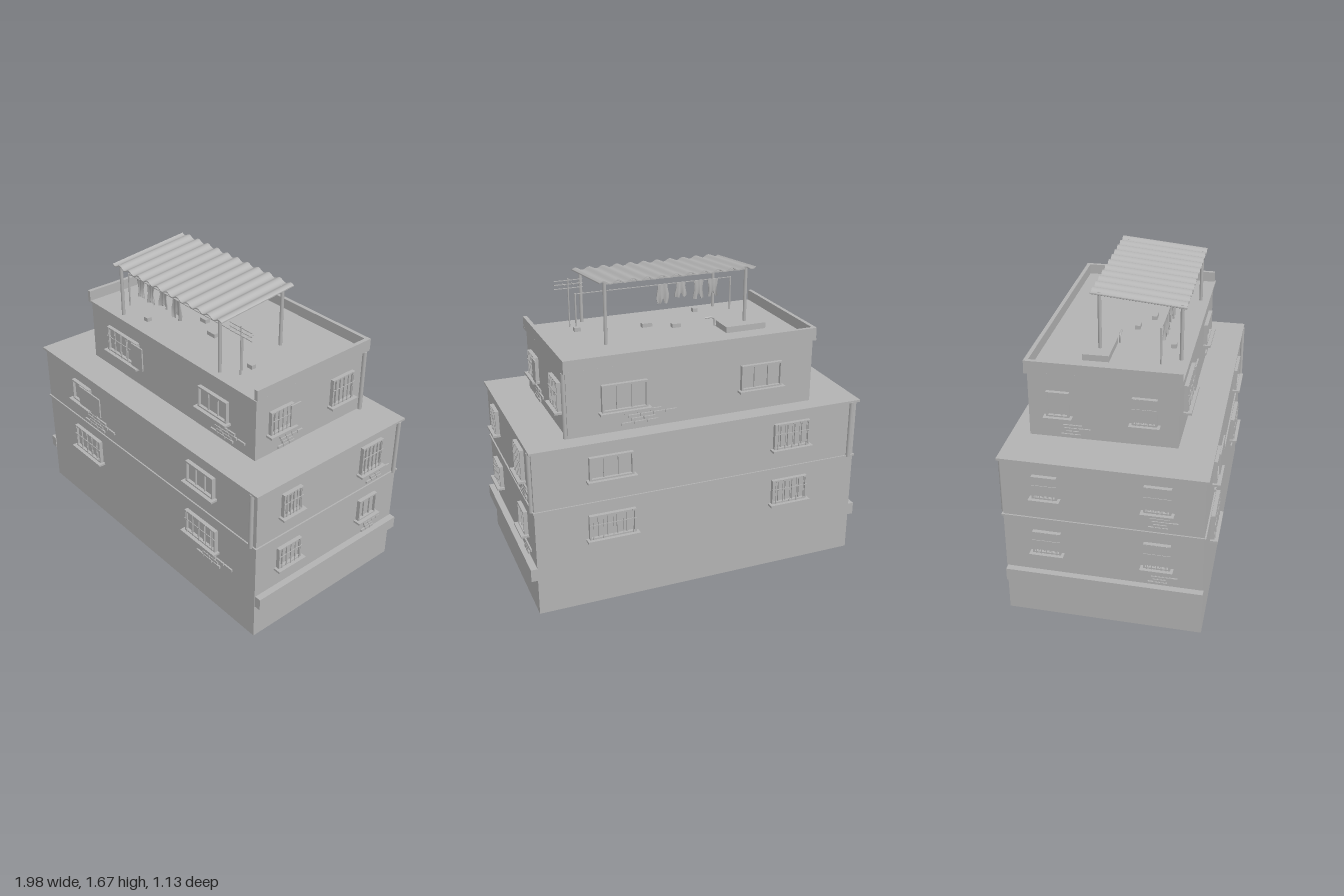
import * as THREE from 'three';

const concrete = new THREE.MeshStandardMaterial({ color: 0xb2b2b2 });
concrete.name = 'concrete grey';

// Footprints as [x, z]: front left, front right, back right, back left (as seen from the front)
const LOWER = [[-0.955, 0.517], [0.932, 0.525], [0.945, -0.515], [-0.925, -0.527]];
const UPPER = [[-0.683, 0.34], [0.72, 0.348], [0.727, -0.43], [-0.672, -0.437]];
const SIDES = { front: 0, right: 1, back: 2, left: 3 };

function add(parent, name, geometry, x = 0, y = 0, z = 0) {
  const mesh = new THREE.Mesh(geometry, concrete);
  mesh.name = name;
  mesh.position.set(x, y, z);
  parent.add(mesh);
  return mesh;
}

const box = (parent, name, w, h, d, x, y, z) => add(parent, name, new THREE.BoxGeometry(w, h, d), x, y, z);

// A box whose plan is a slightly crooked quadrilateral, grown outward by a margin
function prism(parent, name, quad, y0, y1, grow = 0) {
  const geo = new THREE.BoxGeometry(1, 1, 1);
  const p = geo.attributes.position;
  for (let i = 0; i < p.count; i++) {
    const right = p.getX(i) > 0, front = p.getZ(i) > 0;
    const c = quad[front ? (right ? 1 : 0) : (right ? 2 : 3)];
    p.setXYZ(i, c[0] + (right ? grow : -grow), p.getY(i) > 0 ? y1 : y0, c[1] + (front ? grow : -grow));
  }
  geo.computeVertexNormals();
  return add(parent, name, geo);
}

// Group on a wall: local +z points outward; "along" is x on front/back and z on the sides
function onWall(parent, name, quad, side, along, y) {
  const i = SIDES[side], a = quad[i], b = quad[(i + 1) % 4], k = i % 2;
  const t = (along - a[k]) / (b[k] - a[k]);
  const g = new THREE.Group();
  g.name = name;
  g.position.set(a[0] + (b[0] - a[0]) * t, y, a[1] + (b[1] - a[1]) * t);
  g.rotation.y = Math.atan2(-(b[1] - a[1]), b[0] - a[0]);
  g.userData.length = Math.hypot(b[0] - a[0], b[1] - a[1]);
  parent.add(g);
  return g;
}

// Framed window with sill; either a barred grille or plain casements, optionally an open shutter
function windowUnit(parent, quad, side, along, y, w, h, bars, shutter = 0) {
  const g = onWall(parent, bars ? 'barredWindow' : 'casementWindow', quad, side, along, y);
  const t = 0.01;
  box(g, 'glass', w, h, 0.006, 0, 0, 0.002);
  for (const s of [-1, 1]) {
    box(g, 'frameSide', t, h, 0.024, s * (w - t) / 2, 0, 0.01);
    box(g, 'frameRail', w, t, 0.024, 0, s * (h - t) / 2, 0.01);
  }
  box(g, 'sill', w + 0.03, 0.012, 0.05, 0, -h / 2 - 0.004, 0.018);
  const n = bars ? 5 : 3;
  for (let i = 1; i < n; i++) {
    box(g, 'mullion', 0.006, h, 0.012, (i / n - 0.5) * w, 0, 0.008);
  }
  if (bars) {
    for (let i = 0; i < 5; i++) box(g, 'bar', 0.004, h, 0.004, (i / 4 - 0.5) * (w - 0.04), 0, 0.024);
    box(g, 'crossBar', w, 0.004, 0.004, 0, h * 0.12, 0.024);
  }
  if (shutter) box(g, 'openShutter', shutter * 1.7, h * 0.94, 0.008, w / 2 + shutter * 0.15, 0, 0.026);
}

// Patch of exposed bricks in ragged staggered courses
function brickPatch(parent, quad, side, along, y, w, h) {
  const g = onWall(parent, 'exposedBricks', quad, side, along, y);
  const rows = Math.max(3, Math.round(h / 0.02)), step = h / rows;
  for (let r = 0; r < rows; r++) {
    const count = 2 + (r * 2 + 1) % 3, bw = w / 4;
    const start = -w / 2 + ((r * 3) % 4) * bw * 0.25;
    for (let i = 0; i < count; i++) {
      box(g, 'brick', bw * 0.9, step * 0.75, 0.012, start + (i + 0.5) * bw, (r + 0.5) * step - h / 2, 0.003);
    }
  }
}

function pole(parent, name, x, z, y0, y1, r) {
  return add(parent, name, new THREE.CylinderGeometry(r, r, y1 - y0, 8), x, (y0 + y1) / 2, z);
}

export function createModel() {
  const model = new THREE.Group();
  model.name = 'building';

  // Stepped building masses and floor bands
  prism(model, 'lowerBlock', LOWER, 0, 0.935);
  prism(model, 'floorBand', LOWER, 0.598, 0.608, 0.008);
  prism(model, 'terraceSlab', LOWER, 0.932, 0.945, 0.014);
  prism(model, 'upperBlock', UPPER, 0.94, 1.3);
  prism(model, 'roofSlab', UPPER, 1.3, 1.312, 0.014);

  // Ledges on the short sides
  for (const side of ['left', 'right']) {
    const g = onWall(model, 'sideLedge', LOWER, side, 0, 0.244);
    box(g, 'ledge', g.userData.length, 0.07, 0.04, 0, 0, 0.016);
  }

  // Parapet on three sides, open at the front
  for (const side of ['left', 'right', 'back']) {
    const g = onWall(model, 'parapet', UPPER, side, side === 'back' ? 0.0275 : -0.045, 1.34);
    box(g, 'parapetWall', g.userData.length + 0.024, 0.062, 0.022, 0, 0, 0.003);
  }

  // Windows: wall, side, position along, centre height, width, height, barred, shutter
  const windows = [
    [LOWER, 'front', -0.537, 0.465, 0.255, 0.15, 1],
    [LOWER, 'front', 0.515, 0.465, 0.25, 0.14, 1],
    [LOWER, 'front', -0.57, 0.803, 0.17, 0.13, 0, 0.12],
    [LOWER, 'front', 0.512, 0.803, 0.215, 0.13, 0],
    [UPPER, 'front', -0.375, 1.14, 0.28, 0.15, 1, 0.06],
    [UPPER, 'front', 0.408, 1.138, 0.225, 0.125, 0],
    [LOWER, 'right', 0.3, 0.465, 0.16, 0.13, 1],
    [LOWER, 'right', -0.287, 0.465, 0.135, 0.135, 0],
    [LOWER, 'right', 0.297, 0.8, 0.13, 0.14, 1],
    [LOWER, 'right', -0.283, 0.805, 0.155, 0.17, 1],
    [UPPER, 'right', 0.183, 1.137, 0.155, 0.135, 1, 0.04],
    [UPPER, 'right', -0.255, 1.14, 0.16, 0.16, 1],
    [LOWER, 'back', 0.53, 0.465, 0.26, 0.14, 1],
    [LOWER, 'back', -0.515, 0.465, 0.215, 0.145, 1],
    [LOWER, 'back', 0.53, 0.803, 0.24, 0.13, 0],
    [LOWER, 'back', -0.515, 0.803, 0.215, 0.15, 1],
    [UPPER, 'back', 0.42, 1.14, 0.25, 0.15, 0],
    [UPPER, 'back', -0.36, 1.14, 0.24, 0.14, 0],
    [LOWER, 'left', -0.297, 0.465, 0.15, 0.13, 1],
    [LOWER, 'left', 0.28, 0.465, 0.14, 0.15, 1],
    [LOWER, 'left', -0.297, 0.8, 0.13, 0.13, 1],
    [LOWER, 'left', 0.28, 0.805, 0.14, 0.15, 1],
    [UPPER, 'left', -0.28, 1.14, 0.12, 0.14, 0],
    [UPPER, 'left', 0.168, 1.14, 0.13, 0.15, 1],
  ];
  for (const w of windows) windowUnit(model, ...w);

  // Patches of bare brick
  const patches = [
    [LOWER, 'front', 0.6, 0.318, 0.26, 0.065], [LOWER, 'front', -0.43, 0.672, 0.27, 0.1],
    [UPPER, 'front', 0.5, 1.01, 0.24, 0.09], [LOWER, 'right', -0.335, 0.312, 0.13, 0.06],
    [LOWER, 'right', -0.35, 0.66, 0.16, 0.08], [UPPER, 'right', 0.118, 0.99, 0.155, 0.08],
    [UPPER, 'back', 0.3, 1.01, 0.28, 0.08], [LOWER, 'left', 0.3, 0.32, 0.14, 0.07],
    [LOWER, 'left', 0.3, 0.66, 0.14, 0.07], [UPPER, 'left', -0.2, 0.99, 0.14, 0.07],
  ];
  for (const p of patches) brickPatch(model, ...p);

  // Drain pipes near the corners
  for (const [quad, side, along, y0, y1] of [
    [LOWER, 'front', 0.9, 0.6, 0.935], [LOWER, 'right', -0.49, 0.6, 0.935],
    [LOWER, 'back', -0.89, 0.6, 0.935], [UPPER, 'right', -0.415, 0.94, 1.3],
  ]) {
    const g = onWall(model, 'drainPipe', quad, side, along, 0);
    pole(g, 'pipe', 0, 0.008, y0, y1, 0.012);
  }

  // Canopy: four posts, two beams and a corrugated sheet
  const sheetY = (z) => 1.613 + (0.335 - z) * 0.095;
  for (const z of [0.31, -0.115]) {
    for (const x of [-0.415, 0.405]) pole(model, 'canopyPost', x, z, 1.31, sheetY(z), 0.01);
    box(model, 'canopyBeam', 0.83, 0.01, 0.01, -0.005, sheetY(z) - 0.01, z);
  }
  const sheet = new THREE.BoxGeometry(0.9, 0.006, 0.49, 132, 1, 1);
  const sp = sheet.attributes.position;
  for (let i = 0; i < sp.count; i++) {
    const z = sp.getZ(i) + 0.09;
    sp.setY(i, sp.getY(i) + sheetY(z) + 0.008 * Math.sin(sp.getX(i) / 0.9 * Math.PI * 22));
    sp.setZ(i, z);
  }
  sheet.computeVertexNormals();
  add(model, 'corrugatedCanopy', sheet, -0.005);

  // Clothes line with hanging washing
  for (const x of [-0.482, 0.467]) pole(model, 'linePost', x, 0.215, 1.31, 1.512, 0.005);
  box(model, 'clothesLine', 0.95, 0.004, 0.004, -0.0075, 1.508, 0.215);
  [[-0.37, 0.065, 0.105], [-0.28, 0.068, 0.11], [-0.168, 0.075, 0.088], [-0.055, 0.08, 0.115]].forEach(([x, w, h], n) => {
    const cloth = new THREE.BoxGeometry(w, h, 0.005, 10, 4, 1);
    const p = cloth.attributes.position;
    for (let i = 0; i < p.count; i++) {
      const u = p.getX(i) / w, v = 0.5 - p.getY(i) / h;
      p.setZ(i, p.getZ(i) + 0.008 * v * Math.sin(u * 14 + n));
      p.setX(i, p.getX(i) * (0.85 + 0.15 * Math.cos(v * 5 + n)));
      // Notch the hem so that it hangs as two legs or sleeves
      if (v > 0.9) p.setY(i, p.getY(i) + h * 0.35 * Math.max(0, 1 - Math.abs(u) * 5));
    }
    cloth.computeVertexNormals();
    add(model, 'hangingCloth', cloth, x, 1.51 - h / 2, 0.215);
  });

  // Aerial
  pole(model, 'aerialMast', 0.495, 0.25, 1.31, 1.592, 0.004);
  for (const y of [1.535, 1.58]) box(model, 'aerialArm', 0.165, 0.004, 0.004, 0.493, y, 0.25);
  for (const x of [0.43, 0.47, 0.52, 0.56]) box(model, 'aerialRod', 0.003, 0.003, 0.05, x, 1.558, 0.25);
  box(model, 'aerialBoom', 0.165, 0.004, 0.004, 0.493, 1.558, 0.25);

  // Roof hatch, bent vent pipe and loose blocks
  box(model, 'roofHatch', 0.24, 0.04, 0.14, -0.39, 1.326, -0.12);
  const bend = new THREE.CatmullRomCurve3([[0, 0], [0, 0.04], [0.015, 0.052], [0.06, 0.052]]
    .map(([x, y]) => new THREE.Vector3(x, y, 0)));
  add(model, 'ventPipe', new THREE.TubeGeometry(bend, 12, 0.005, 8), -0.265, 1.31, -0.04);
  for (const [x, z, w] of [[-0.27, 0.25, 0.03], [-0.055, 0.02, 0.05], [0.095, 0.09, 0.06], [0.48, 0.16, 0.035]]) {
    box(model, 'looseBlock', w, 0.025, 0.03, x, 1.322, z);
  }
  return model;
}
